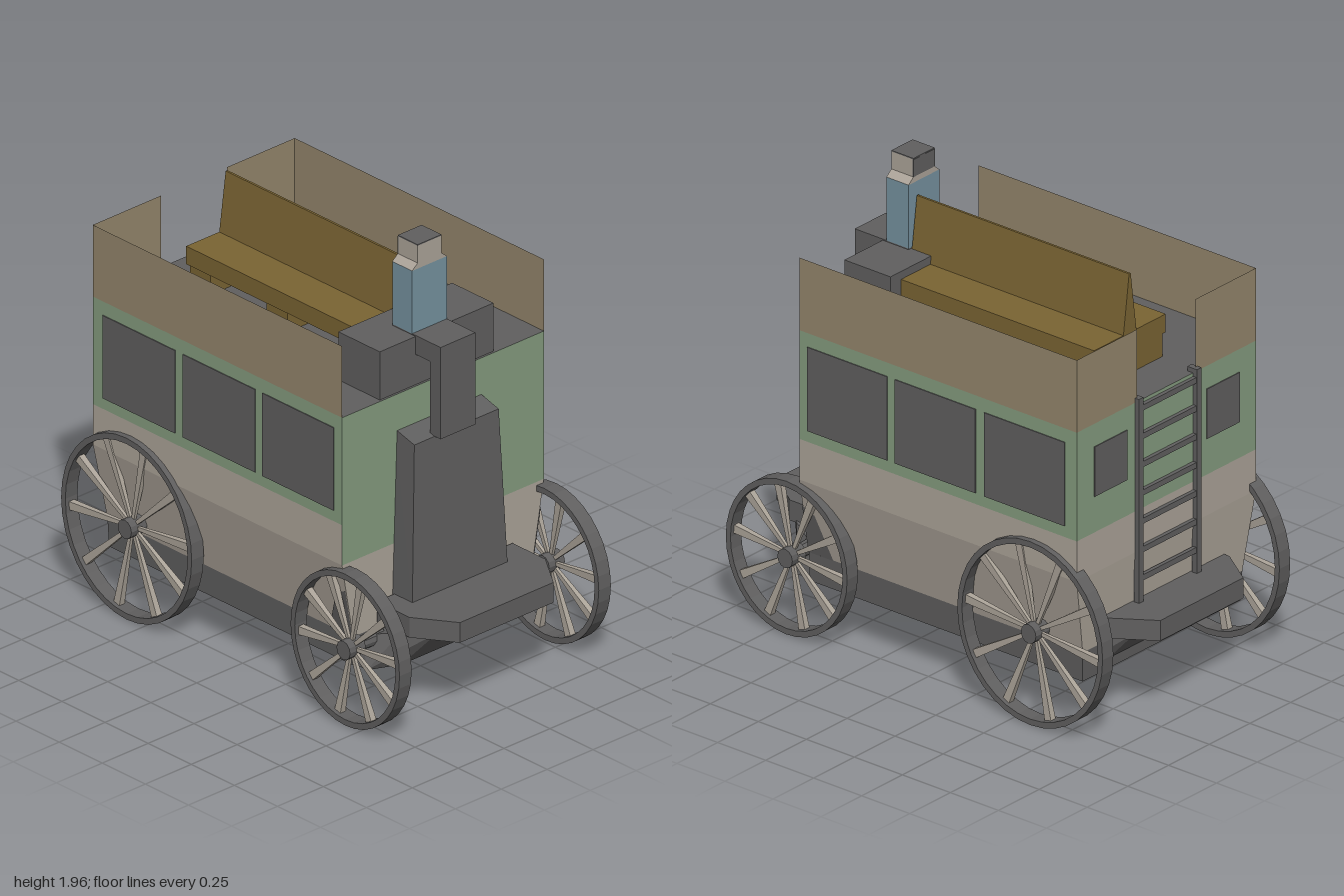
import * as THREE from 'three';
import { ConvexGeometry } from 'three/addons/geometries/ConvexGeometry.js';

const mat = (name, color) => {
  const m = new THREE.MeshStandardMaterial({ color, side: THREE.DoubleSide, flatShading: true });
  m.name = name;
  return m;
};

export function createModel() {
  const M = {
    iron: mat('dark grey', 0x605f5f),
    green: mat('sage green', 0x859c7f),
    beige: mat('pale beige', 0xaca499),
    tan: mat('dull tan', 0x94866c),
    wood: mat('brown wood', 0x7a6433),
    blue: mat('dusty blue', 0x76929f),
  };
  const root = new THREE.Group();
  const add = (name, geo, m, parent = root) => {
    const mesh = new THREE.Mesh(geo, m);
    mesh.name = name;
    parent.add(mesh);
    return mesh;
  };
  // box given by its limits on each axis
  const box = (name, m, x0, x1, y0, y1, z0, z1, parent) => {
    const mesh = add(name, new THREE.BoxGeometry(x1 - x0, y1 - y0, z1 - z0), m, parent);
    mesh.position.set((x0 + x1) / 2, (y0 + y1) / 2, (z0 + z1) / 2);
    return mesh;
  };
  const hull = (name, m, pts, parent) =>
    add(name, new ConvexGeometry(pts.map(p => new THREE.Vector3(...p))), m, parent);
  // flat polygon panel, corners counter-clockwise
  const panel = (name, m, pts) => {
    const v = [];
    for (let i = 1; i < pts.length - 1; i++) v.push(...pts[0], ...pts[i], ...pts[i + 1]);
    const g = new THREE.BufferGeometry();
    g.setAttribute('position', new THREE.Float32BufferAttribute(v, 3));
    g.computeVertexNormals();
    return add(name, g, m);
  };

  // body walls: each band runs between two levels [y, half width, front z, back z]
  const F = 0.63, B = -0.815;
  const L = {
    sill: [0.23, 0.485, F, -0.79], floor: [0.36, 0.49, F, -0.795], fold: [0.7, 0.55, F, B],
    waist: [0.88, 0.55, F, B], roof: [1.36, 0.55, F, B], rim: [1.68, 0.55, F, B],
  };
  const sides = (name, m, [y0, x0, f0, b0], [y1, x1, f1, b1]) => {
    panel(name + 'Left', m, [[x0, y0, f0], [x0, y0, b0], [x1, y1, b1], [x1, y1, f1]]);
    panel(name + 'Right', m, [[-x0, y0, b0], [-x0, y0, f0], [-x1, y1, f1], [-x1, y1, b1]]);
  };
  const front = (name, m, [y0, x0, f0], [y1, x1, f1]) =>
    panel(name, m, [[-x0, y0, f0], [x0, y0, f0], [x1, y1, f1], [-x1, y1, f1]]);
  const back = (name, m, [y0, x0, , b0], [y1, x1, , b1]) =>
    panel(name, m, [[x0, y0, b0], [-x0, y0, b0], [-x1, y1, b1], [x1, y1, b1]]);

  sides('sillSide', M.iron, L.sill, L.floor);
  front('sillFront', M.iron, L.sill, L.floor);
  back('sillBack', M.iron, L.sill, L.floor);
  sides('lowerSide', M.beige, L.floor, L.fold);
  sides('waistSide', M.beige, L.fold, L.waist);
  front('lowerFront', M.beige, L.floor, L.fold);
  back('lowerBack', M.beige, L.floor, L.fold);
  back('waistBack', M.beige, L.fold, L.waist);
  sides('upperSide', M.green, L.waist, L.roof);
  front('upperFront', M.green, L.fold, L.roof);
  back('upperBack', M.green, L.waist, L.roof);
  sides('parapetSide', M.tan, L.roof, L.rim);
  panel('roofDeck', M.iron, [[-0.55, 1.36, F], [0.55, 1.36, F], [0.55, 1.36, B], [-0.55, 1.36, B]]);

  for (const s of [-1, 1]) {
    // rear parapet wings leave a gap for the ladder
    panel('parapetBack', M.tan, [[s * 0.18, 1.36, B], [s * 0.55, 1.36, B], [s * 0.55, 1.68, B], [s * 0.18, 1.68, B]]);
    // windows
    for (const [z0, z1] of [[0.17, 0.585], [-0.29, 0.13], [-0.755, -0.335]]) {
      const x = s * 0.553;
      box('sideWindow', M.iron, x - 0.002, x + 0.002, 0.93, 1.3, z0, z1);
    }
    box('backWindow', M.iron, s * 0.345 - 0.1, s * 0.345 + 0.1, 1.04, 1.26, B - 0.005, B - 0.001);
    // dark corner plate behind the front wheel
    const px = y => s * (0.49 + 0.06 * (y - 0.36) / 0.34 + 0.004);
    panel('cornerPlate', M.iron, [[0.36, F], [0.36, 0.5], [0.55, 0.57], [0.58, F]].map(([y, z]) => [px(y), y, z]));
  }

  // footboard and sloped apron, the same at both ends
  for (const [name, turn] of [['front', 0], ['rear', Math.PI]]) {
    const g = new THREE.Group();
    g.name = name + 'Platform';
    g.rotation.y = turn;
    root.add(g);
    const board = [], apron = [];
    for (const s of [-1, 1]) {
      for (const y of [0.39, 0.48])
        board.push([s * 0.255, y, 1], [s * 0.37, y, 0.83], [s * 0.37, y, 0.64]);
      apron.push([s * 0.27, 0.4, 0.89], [s * 0.38, 0.4, 0.79], [s * 0.45, 0.36, 0.64],
        [s * 0.35, 0.235, 0.76], [s * 0.48, 0.235, 0.7], [s * 0.48, 0.235, 0.6]);
    }
    hull(name + 'Footboard', M.iron, board, g);
    hull(name + 'Apron', M.iron, apron, g);
  }

  // tall tapered boot in front
  hull('boot', M.iron, [
    [-0.25, 1.2, 0.62], [0.21, 1.2, 0.62], [-0.25, 1.17, 0.73], [0.21, 1.17, 0.73],
    [-0.275, 0.46, 0.62], [0.245, 0.46, 0.62], [-0.275, 0.46, 0.745], [0.245, 0.46, 0.745]]);

  // coachman on his seat
  box('driverSeat', M.iron, -0.335, 0.285, 1.36, 1.575, 0.38, 0.62);
  box('driverThighs', M.iron, -0.14, 0.05, 1.495, 1.58, 0.485, 0.765);
  box('driverShins', M.iron, -0.14, 0.05, 1.17, 1.58, 0.705, 0.765);
  box('driverTorso', M.blue, -0.14, 0.05, 1.58, 1.86, 0.485, 0.6);
  const neck = [];
  for (const z of [0.485, 0.6])
    neck.push([-0.14, 1.86, z], [0.05, 1.86, z], [-0.11, 1.885, z], [0.02, 1.885, z]);
  hull('driverShoulders', M.beige, neck);
  box('driverHead', M.beige, -0.11, 0.02, 1.88, 1.962, 0.49, 0.6);
  box('driverHairTop', M.iron, -0.11, 0.02, 1.962, 1.967, 0.485, 0.6);
  box('driverHairBack', M.iron, -0.11, 0.02, 1.885, 1.962, 0.484, 0.49);

  // back-to-back roof bench
  box('benchSeat', M.wood, -0.22, 0.22, 1.46, 1.54, -0.625, 0.38);
  for (const z of [-0.625, -0.18, 0.26])
    box('benchSupport', M.wood, -0.2, 0.2, 1.36, 1.46, z, z + 0.12);
  const rest = [];
  for (const z of [-0.625, 0.48])
    rest.push([-0.045, 1.5, z], [0.045, 1.5, z], [-0.005, 1.8, z], [0.005, 1.8, z]);
  hull('benchBackrest', M.wood, rest);

  // rear ladder
  for (const s of [-1, 1]) {
    box('ladderRail', M.iron, s * 0.178 - 0.014, s * 0.178 + 0.014, 0.46, 1.38, -0.835, -0.81);
    box('ladderHook', M.iron, s * 0.178 - 0.014, s * 0.178 + 0.014, 1.36, 1.38, -0.835, -0.785);
  }
  for (let i = 0; i < 7; i++)
    box('ladderRung', M.iron, -0.178, 0.178, 0.57 + i * 0.125, 0.595 + i * 0.125, -0.832, -0.815);

  // spoked wheels; slightly narrow front to back
  const wheel = (name, s, y, z, r) => {
    const g = new THREE.Group();
    g.name = name;
    g.position.set(s * 0.543, y, z);
    g.scale.z = 0.935;
    root.add(g);
    const w = 0.033, t = 0.026;
    const ring = [[r - t, -w], [r, -w], [r, w], [r - t, w], [r - t, -w]].map(p => new THREE.Vector2(...p));
    add('tyre', new THREE.LatheGeometry(ring, 36), M.iron, g).rotation.z = Math.PI / 2;
    add('hub', new THREE.CylinderGeometry(0.042, 0.042, 0.085, 12), M.iron, g).rotation.z = Math.PI / 2;
    const n = 10, len = r - t - 0.025;
    for (let i = 0; i < n; i++) {
      const spoke = new THREE.CylinderGeometry(0.026, 0.011, len, 4);
      spoke.rotateY(Math.PI / 4);
      spoke.scale(0.8, 1, 1);
      spoke.translate(0, 0.03 + len / 2, 0);
      spoke.rotateX((i + 0.35) * 2 * Math.PI / n);
      add('spoke', spoke, M.beige, g);
    }
    // axle stub running inwards
    const stub = add('axleStub', new THREE.CylinderGeometry(0.036, 0.026, 0.16, 10), M.iron, g);
    stub.rotation.z = s * Math.PI / 2;
    stub.position.x = -s * 0.08;
  };
  for (const s of [-1, 1]) {
    const side = s > 0 ? 'Left' : 'Right';
    wheel('frontWheel' + side, s, 0.35, 0.675, 0.338);
    wheel('rearWheel' + side, s, 0.415, -0.593, 0.405);
  }
  return root;
}
